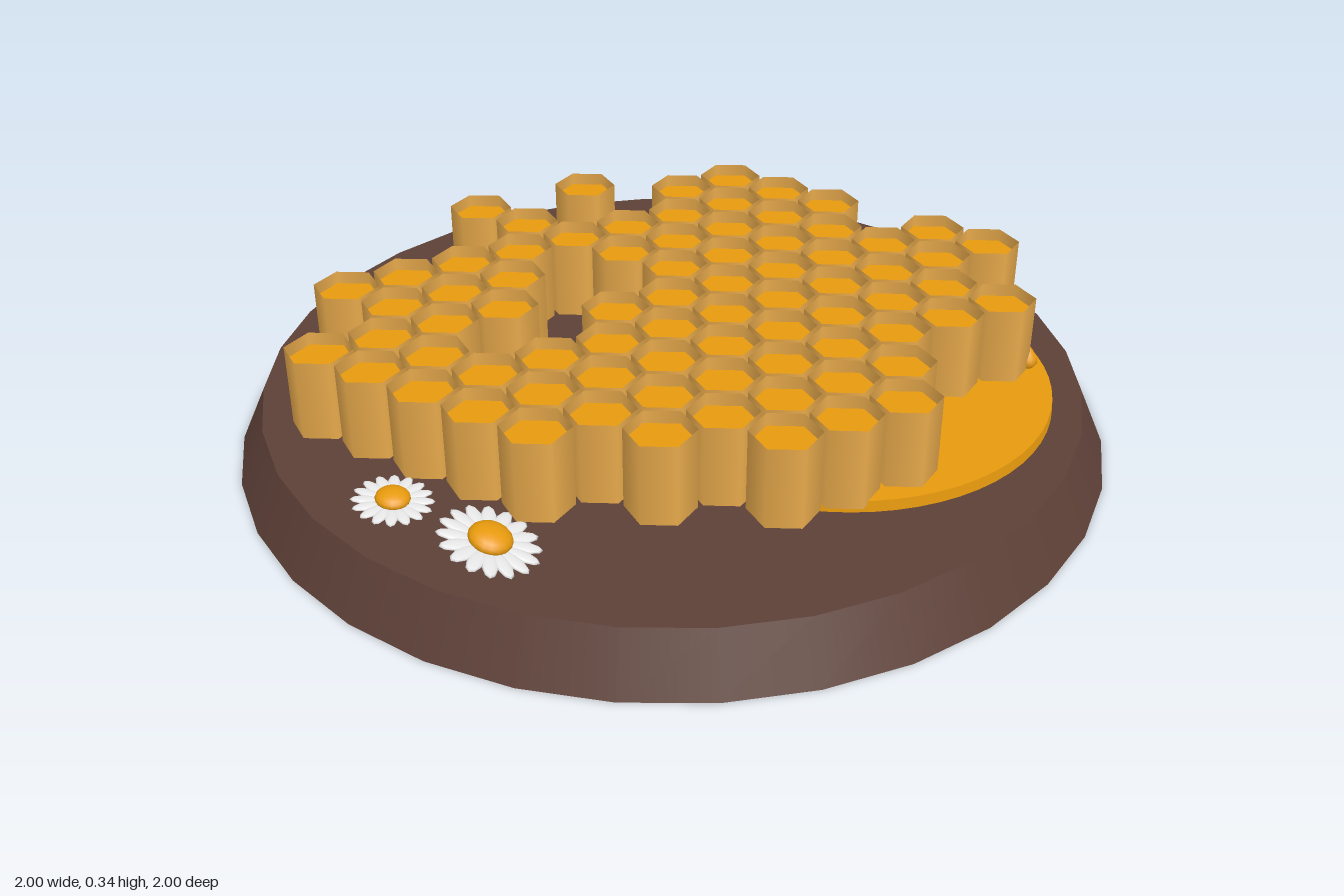
import * as THREE from 'three';

const mat = (name, color, side = THREE.FrontSide) => {
  const m = new THREE.MeshStandardMaterial({ color, side });
  m.name = name;
  return m;
};

export function createModel() {
  const model = new THREE.Group();
  model.name = 'honeycombBoard';
  const wood = mat('darkWood', 0x5d4037);
  const honey = mat('honey', 0xf9a60f);
  const wax = mat('wax', 0xe5a84b, THREE.DoubleSide);
  const white = mat('petalWhite', 0xf5f5f5, THREE.DoubleSide);

  const add = (parent, name, geometry, material, x = 0, y = 0, z = 0) => {
    const mesh = new THREE.Mesh(geometry, material);
    mesh.name = name;
    mesh.position.set(x, y, z);
    parent.add(mesh);
    return mesh;
  };

  // Round board and the honey puddle lying on it
  add(model, 'board', new THREE.CylinderGeometry(0.94, 1, 0.13, 32), wood, 0, 0.065, 0);
  add(model, 'honeyPuddle', new THREE.CylinderGeometry(0.495, 0.497, 0.026, 64), honey, 0.29, 0.143, 0.235);

  // Honeycomb: for each row, runs of occupied columns (first, last)
  const rows = {
    '-5': [[-1.5, -1.5], [0.5, 0.5]],
    '-4': [[-1, -1], [2, 3]],
    '-3': [[-4.5, 3.5]],
    '-2': [[-4, -2], [0, 4]],
    '-1': [[-5.5, -2.5], [0.5, 3.5]],
    '0': [[-5, -4], [-1, 5]],
    '1': [[-4.5, 5.5]],
    '2': [[-4, 4]],
    '3': [[-3.5, 4.5]],
    '4': [[-2, 2]],
    '5': [[-0.5, 1.5]],
  };
  const R = 0.076, bottom = 0.148, top = 0.336, fill = 0.306;
  const wallGeo = new THREE.CylinderGeometry(R, R, top - bottom, 6, 1, true);
  const fillGeo = new THREE.CircleGeometry(R, 6, Math.PI / 6).rotateX(-Math.PI / 2);
  const baseGeo = new THREE.CircleGeometry(R, 6, Math.PI / 6).rotateX(Math.PI / 2);
  const comb = new THREE.Group();
  comb.name = 'honeycomb';
  model.add(comb);
  for (const [row, runs] of Object.entries(rows)) {
    for (const [first, last] of runs) {
      for (let col = first; col <= last; col++) {
        const x = col * 0.1436, z = Number(row) * 0.1243;
        add(comb, 'cellWall', wallGeo, wax, x, (top + bottom) / 2, z);
        add(comb, 'cellHoney', fillGeo, honey, x, fill, z);
        add(comb, 'cellFloor', baseGeo, wax, x, bottom, z);
      }
    }
  }

  // Honey droplet standing at the edge of the puddle
  const dropProfile = [[0, 0], [0.016, 0.004], [0.025, 0.018], [0.022, 0.032], [0.01, 0.05], [0, 0.064]]
    .map(([r, y]) => new THREE.Vector2(r, y));
  add(model, 'honeyDrop', new THREE.LatheGeometry(dropProfile, 16), honey, 0.715, 0.148, 0.4);

  // Tiny wax slivers poking out of one cell
  [-0.6, 0.5].forEach((turn, i) => {
    const sliver = add(model, 'waxSliver', new THREE.ConeGeometry(0.008, 0.04, 6), wax, 0.535 + i * 0.025, 0.309, 0.305);
    sliver.rotation.set(0.5, 0, turn);
  });

  // Daisies: a ring of slim petals around a domed centre
  const petalGeo = new THREE.SphereGeometry(1, 10, 6);
  const heartGeo = new THREE.SphereGeometry(1, 16, 10);
  const daisy = (x, y, z, r, tiltX, tiltZ) => {
    const flower = new THREE.Group();
    flower.name = 'daisy';
    flower.position.set(x, y, z);
    flower.rotation.set(tiltX, 0, tiltZ);
    const count = 16;
    for (let i = 0; i < count; i++) {
      const a = (i / count) * Math.PI * 2;
      const petal = add(flower, 'petal', petalGeo, white, Math.cos(a) * r * 0.65, 0, -Math.sin(a) * r * 0.65);
      petal.scale.set(r * 0.36, r * 0.05, r * 0.155);
      petal.rotation.y = a;
    }
    add(flower, 'daisyHeart', heartGeo, honey, 0, r * 0.08, 0).scale.set(r * 0.43, r * 0.22, r * 0.43);
    model.add(flower);
  };
  daisy(-0.765, 0.152, 0.23, 0.086, 0.08, -0.08);
  daisy(-0.65, 0.167, 0.47, 0.108, 0.18, -0.26);
  daisy(0.585, 0.16, -0.535, 0.091, 0.38, 0.1);

  return model;
}
